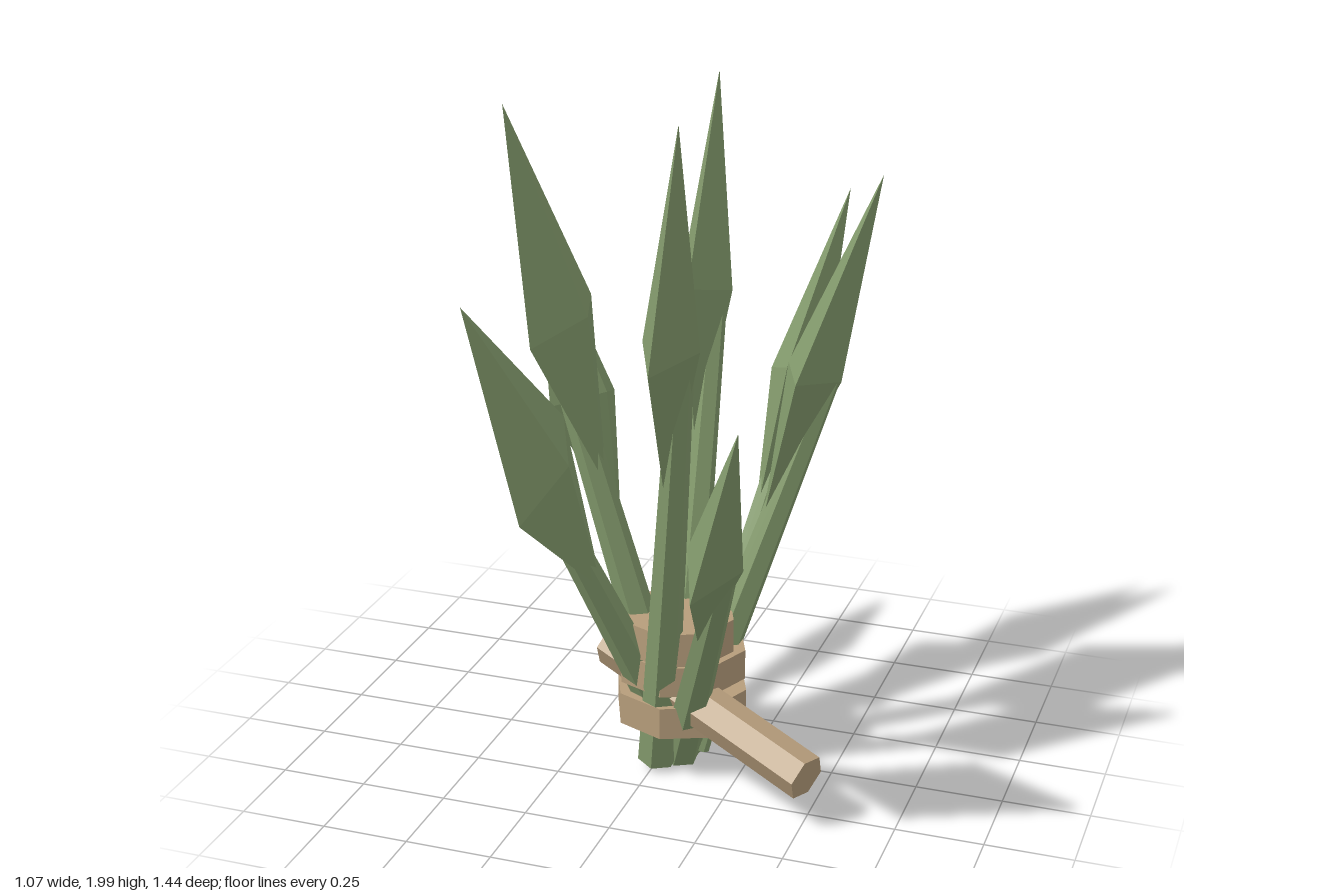
import * as THREE from 'three';

const V = (x, y, z) => new THREE.Vector3(x, y, z);

// Faceted copy of a geometry: every face gets its own normal
function faceted(geometry) {
  const g = geometry.index ? geometry.toNonIndexed() : geometry;
  g.computeVertexNormals();
  return g;
}

// Tapered six-sided bar between two points
function bar(name, a, b, rA, rB, material) {
  const dir = b.clone().sub(a);
  const mesh = new THREE.Mesh(
    faceted(new THREE.CylinderGeometry(rB, rA, dir.length(), 6)), material);
  mesh.position.copy(a).add(b).multiplyScalar(0.5);
  mesh.quaternion.setFromUnitVectors(V(0, 1, 0), dir.normalize());
  mesh.name = name;
  return mesh;
}

// Four-sided spearhead blade, thin across x and wide along z
function blade(base, tip, width, material) {
  const upper = 0.23 + 0.2 * base.distanceTo(tip);
  const geometry = new THREE.LatheGeometry([
    new THREE.Vector2(0, -0.8 * upper),
    new THREE.Vector2(1, 0),
    new THREE.Vector2(0, upper),
  ], 4).scale(0.08, 1, width);
  const yAxis = tip.clone().sub(base).normalize();
  const xAxis = yAxis.clone().cross(V(0, 0, 1)).normalize();
  const zAxis = xAxis.clone().cross(yAxis);
  const mesh = new THREE.Mesh(faceted(geometry), material);
  mesh.quaternion.setFromRotationMatrix(new THREE.Matrix4().makeBasis(xAxis, yAxis, zAxis));
  mesh.position.copy(tip).addScaledVector(yAxis, -upper);
  mesh.name = 'blade';
  return mesh;
}

export function createModel() {
  const model = new THREE.Group();
  model.name = 'leafBundle';
  const green = new THREE.MeshStandardMaterial({ color: 0x849b6d });
  green.name = 'leafGreen';
  const brown = new THREE.MeshStandardMaterial({ color: 0xb69d7b });
  brown.name = 'bindingBrown';

  // Leaves: foot x, foot z, tip x, y, z, blade half width, sideways shift of the stem top
  const leaves = [
    [0.05, 0.05, -0.43, 1.93, 0.115, 0.235, -0.035],
    [0.04, 0.03, -0.01, 1.93, -0.48, 0.167, 0.03],
    [0.01, 0.12, 0.185, 2.0, 0.455, 0.178, 0.03],
    [0.06, 0.03, 0.53, 1.72, -0.275, 0.24, 0.045],
    [0.08, 0.03, 0.322, 1.55, -0.72, 0.165, 0.03],
    [0.02, 0.0, -0.533, 1.48, -0.35, 0.222, -0.035],
    [0.05, 0.03, -0.36, 1.51, 0.587, 0.23, -0.035],
    [0.06, 0.06, 0.43, 1.31, 0.72, 0.165, 0.035],
  ];
  for (const [bx, bz, tx, ty, tz, width, shift] of leaves) {
    const base = V(bx, 0.035, bz), tip = V(tx, ty, tz);
    const leaf = new THREE.Group();
    leaf.name = 'leaf';
    const stemTop = base.clone().lerp(tip, 0.66);
    stemTop.x += shift;
    leaf.add(bar('stem', base, stemTop, 0.058, 0.035, green));
    leaf.add(blade(base, tip, width, green));
    model.add(leaf);
  }

  // Binding bands: y, height, radius, z
  const bands = [
    [0.197, 0.095, 0.196, 0.022],
    [0.325, 0.09, 0.192, 0.022],
    [0.425, 0.1, 0.165, 0.05],
  ];
  for (const [y, h, r, z] of bands) {
    const band = new THREE.Mesh(faceted(new THREE.CylinderGeometry(r, r, h, 8)), brown);
    band.position.set(0.05, y, z);
    band.name = 'bindingBand';
    model.add(band);
  }

  // Peg pushed through the bands
  const peg = bar('peg', V(-0.165, 0.33, 0.02), V(0.51, 0.157, 0.31), 0.067, 0.067, brown);
  peg.rotateY(Math.PI / 6);
  model.add(peg);

  return model;
}
